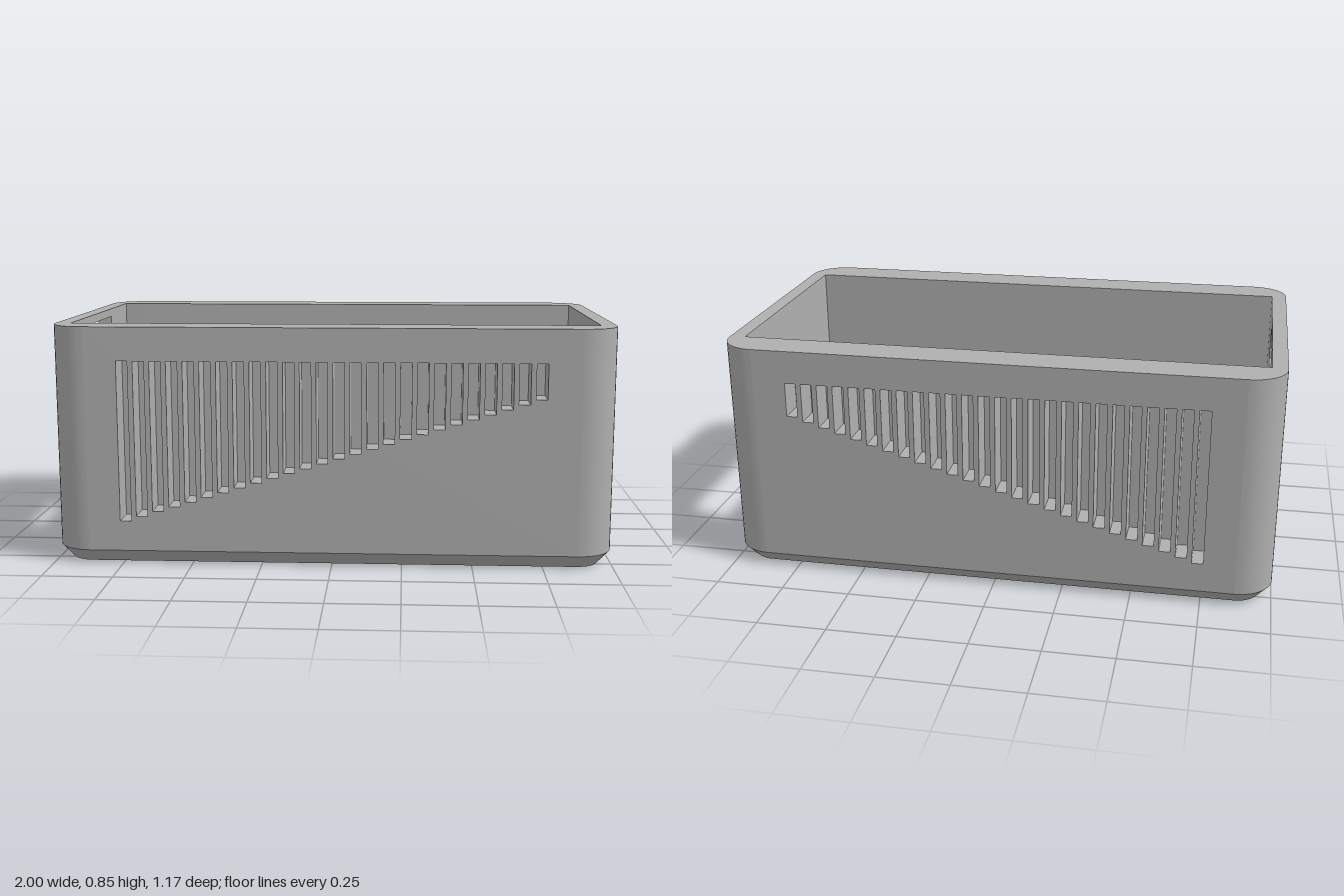
import * as THREE from 'three';
import { toCreasedNormals } from 'three/addons/utils/BufferGeometryUtils.js';

const W = 1, D = 0.587, H = 0.853, R = 0.13;      // outer half sizes, height, corner radius
const IX = 0.945, IZ = 0.447;                     // cavity half sizes
const BEVEL = 0.05, INSET = 0.045, FLOOR = 0.09;
const SLOT_DEPTH = 0.1;

function rect(Type, x0, y0, x1, y1) {
  return new Type([[x0, y0], [x1, y0], [x1, y1], [x0, y1]].map(p => new THREE.Vector2(...p)));
}

function roundedOutline(w, d, r, n = 10) {
  const pts = [];
  [[1, 1], [-1, 1], [-1, -1], [1, -1]].forEach(([sx, sz], q) => {
    for (let i = 0; i <= n; i++) {
      const a = (q + i / n) * Math.PI / 2;
      pts.push(new THREE.Vector2(sx * (w - r) + r * Math.cos(a), sz * (d - r) + r * Math.sin(a)));
    }
  });
  return pts;
}

export function createModel() {
  const group = new THREE.Group();
  const grey = new THREE.MeshStandardMaterial({ color: 0xb0b0b0 });
  grey.name = 'plastic grey';

  const add = (name, geometry, x = 0, y = 0, z = 0) => {
    const mesh = new THREE.Mesh(geometry, grey);
    mesh.name = name;
    mesh.position.set(x, y, z);
    group.add(mesh);
  };
  const box = (name, x0, x1, y0, y1, z0, z1) =>
    add(name, new THREE.BoxGeometry(x1 - x0, y1 - y0, z1 - z0), (x0 + x1) / 2, (y0 + y1) / 2, (z0 + z1) / 2);
  const extrude = (shape, depth) => new THREE.ExtrudeGeometry(shape, { depth, bevelEnabled: false });

  // Base: chamfered skirt between two rounded outlines, with its underside
  const low = roundedOutline(W - INSET, D - INSET, R - INSET);
  const high = roundedOutline(W, D, R);
  const pos = [];
  low.forEach((a, i) => {
    const j = (i + 1) % low.length, b = low[j], c = high[j], d = high[i];
    const [A, B] = [[a.x, 0, -a.y], [b.x, 0, -b.y]];
    const [C, E] = [[c.x, BEVEL, -c.y], [d.x, BEVEL, -d.y]];
    pos.push(...A, ...B, ...C, ...A, ...C, ...E);
  });
  const skirt = new THREE.BufferGeometry();
  skirt.setAttribute('position', new THREE.Float32BufferAttribute(pos, 3));
  add('baseChamfer', toCreasedNormals(skirt, 0.4));
  add('underside', new THREE.ShapeGeometry(new THREE.Shape(low)).rotateX(Math.PI / 2));
  box('floor', -IX, IX, BEVEL - 0.01, FLOOR, -IZ, IZ);

  // Long walls with blind vent slots that shorten toward one end
  const ventWall = rect(THREE.Shape, -(W - R), BEVEL, W - R, H);
  for (let i = 0; i < 26; i++) {
    const x = -0.755 + i * 0.0586;
    ventWall.holes.push(rect(THREE.Path, x, 0.158 + i * 0.018, x + 0.04, 0.733));
  }
  for (const s of [1, -1]) {
    const side = s > 0 ? 'front' : 'back';
    add(side + 'VentWall', extrude(ventWall, SLOT_DEPTH), 0, 0, s > 0 ? D - SLOT_DEPTH : -D);
    const za = s * IZ, zb = s * (D - SLOT_DEPTH);
    box(side + 'InnerWall', -(W - R), W - R, BEVEL, H, Math.min(za, zb), Math.max(za, zb));
    // Low ledge along the inside of the wall
    const zc = s * 0.35;
    box(side + 'Ledge', -IX, IX, FLOOR - 0.01, 0.2, Math.min(za, zc), Math.max(za, zc));
  }

  // End walls with rectangular port openings
  const endWall = (name, x, openings) => {
    const shape = rect(THREE.Shape, -(D - R), BEVEL, D - R, H);
    openings.forEach(([z, y0, y1]) => shape.holes.push(rect(THREE.Path, -z, y0, z, y1)));
    add(name, extrude(shape, W - IX).rotateY(-Math.PI / 2), x);
  };
  endWall('leftEndWall', W, [[0.294, 0.228, 0.505]]);
  endWall('rightEndWall', -IX, [[0.172, 0.262, 0.404], [0.172, 0.682, 0.822]]);

  // Rounded corner posts
  for (const sx of [1, -1]) for (const sz of [1, -1]) {
    const pts = [[W - R, IZ], [IX, IZ], [IX, D - R]];
    for (let i = 0; i <= 10; i++) {
      const a = i / 10 * Math.PI / 2;
      pts.push([W - R + R * Math.cos(a), D - R + R * Math.sin(a)]);
    }
    const shape = new THREE.Shape(pts.map(([x, z]) => new THREE.Vector2(sx * x, sz * z)));
    const post = extrude(shape, H - BEVEL).rotateX(-Math.PI / 2);
    add('cornerPost', toCreasedNormals(post, 0.4), 0, BEVEL);
  }
  return group;
}
